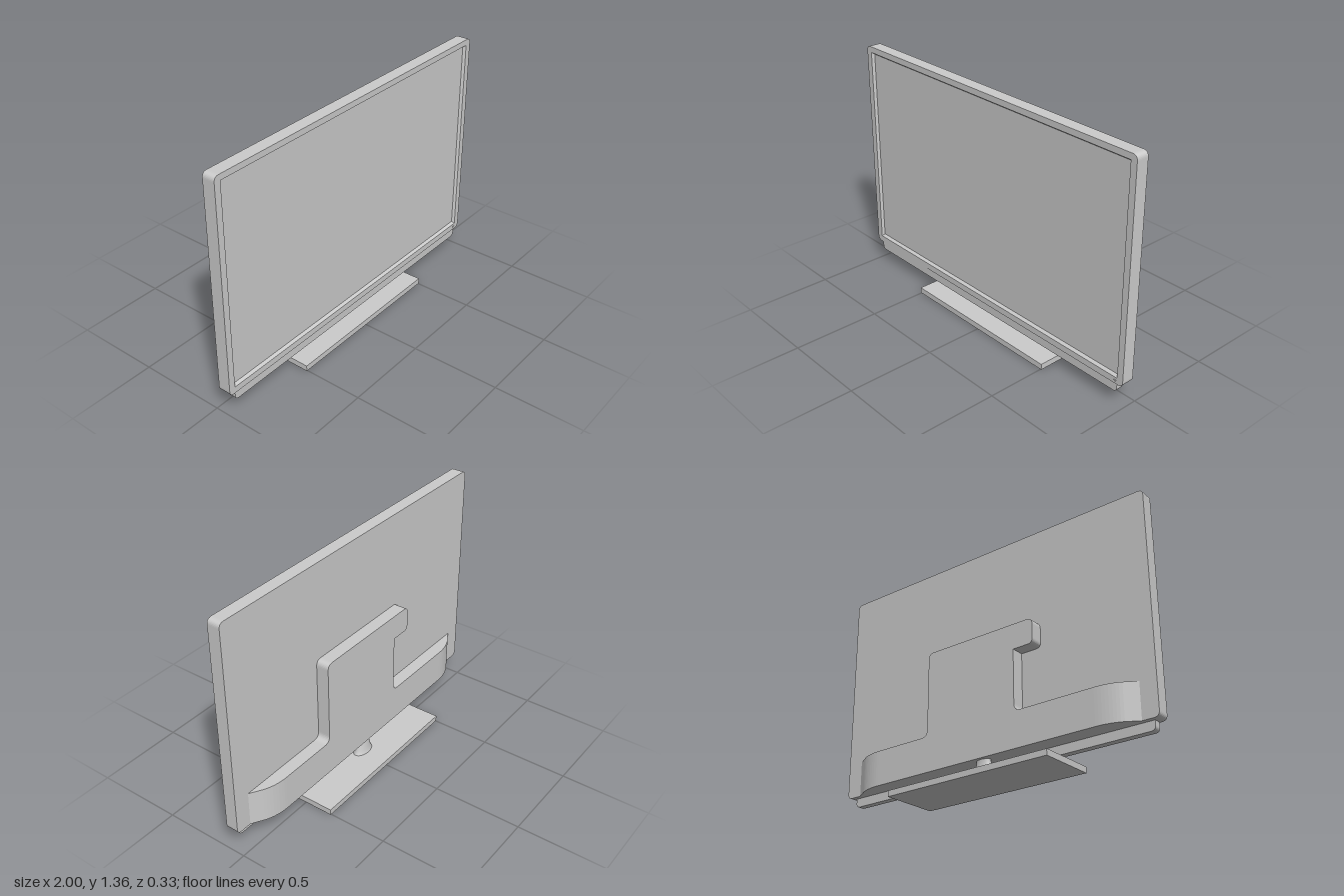
import * as THREE from 'three';

const material = new THREE.MeshStandardMaterial({ color: 0xcccccc });

function add(group, name, geometry) {
  const mesh = new THREE.Mesh(geometry, material);
  mesh.name = name;
  group.add(mesh);
  return mesh;
}

// Outline from [x, y, radius] corners, each rounded by its radius
function roundedPath(corners) {
  const shape = new THREE.Shape();
  const n = corners.length;
  corners.forEach(([x, y, r], i) => {
    const p = new THREE.Vector2(x, y);
    const towards = ([a, b]) => p.clone().add(new THREE.Vector2(a - x, b - y).setLength(r));
    const start = towards(corners[(i + n - 1) % n]);
    const end = towards(corners[(i + 1) % n]);
    if (i === 0) shape.moveTo(start.x, start.y);
    else shape.lineTo(start.x, start.y);
    if (r > 0) shape.quadraticCurveTo(x, y, end.x, end.y);
  });
  shape.closePath();
  return shape;
}

const rect = (x, y0, y1, rBottom, rTop = rBottom) =>
  roundedPath([[-x, y0, rBottom], [x, y0, rBottom], [x, y1, rTop], [-x, y1, rTop]]);

// Extrude an outline between two z values
function slab(shape, z0, z1) {
  return new THREE.ExtrudeGeometry(shape, { depth: z1 - z0, bevelEnabled: false, curveSegments: 8 })
    .translate(0, 0, z0);
}

// Sloping border between an outer rectangle and a smaller one set further back
function slopedBorder(outer, inner) {
  const loop = ([x, y0, y1, z]) => [[-x, y0, z], [x, y0, z], [x, y1, z], [-x, y1, z]];
  const a = loop(outer), b = loop(inner), positions = [];
  for (let i = 0; i < 4; i++) {
    const j = (i + 1) % 4;
    for (const p of [a[i], a[j], b[j], a[i], b[j], b[i]]) positions.push(...p);
  }
  const geometry = new THREE.BufferGeometry();
  geometry.setAttribute('position', new THREE.Float32BufferAttribute(positions, 3));
  geometry.computeVertexNormals();
  return geometry;
}

export function createModel() {
  const model = new THREE.Group();
  model.name = 'television';

  // Screen housing: closed back, open bezel, sloping lip and recessed display
  const housing = new THREE.Group();
  housing.name = 'housing';
  model.add(housing);
  const displayZ = 0.085;
  const bezel = rect(1, 0.13, 1.36, 0.03);
  bezel.holes.push(rect(0.963, 0.166, 1.327, 0));
  add(housing, 'bezel', slab(bezel, displayZ, 0.1));
  add(housing, 'backPanel', slab(rect(1, 0.13, 1.36, 0.03), 0.028, displayZ));
  add(housing, 'screenLip', slopedBorder([0.963, 0.166, 1.327, 0.1], [0.952, 0.179, 1.316, displayZ]));
  add(housing, 'screen', new THREE.PlaneGeometry(1.904, 1.137).translate(0, 0.7475, displayZ + 0.001));
  add(housing, 'indicator', new THREE.BoxGeometry(0.012, 0.008, 0.006).translate(0.95, 0.148, 0.101));

  // Speaker strip under the screen
  add(model, 'speakerStrip', slab(rect(0.96, 0.08, 0.135, 0.025, 0), 0.056, 0.095));

  // Low rear band with tapering ends, drawn in plan (x, -z)
  const band = new THREE.Shape();
  band.moveTo(-0.91, -0.03);
  band.lineTo(0.91, -0.03);
  band.lineTo(0.84, 0.012);
  band.bezierCurveTo(0.8, 0.034, 0.75, 0.045, 0.7, 0.045);
  band.lineTo(-0.7, 0.045);
  band.bezierCurveTo(-0.75, 0.045, -0.8, 0.034, -0.84, 0.012);
  band.closePath();
  add(model, 'rearBand', slab(band, 0.13, 0.33).rotateX(-Math.PI / 2));

  // Rear tower with a side overhang and filleted feet
  const tower = roundedPath([
    [-0.27, 0.33, 0], [0.39, 0.33, 0], [0.35, 0.33, 0.04], [0.35, 0.815, 0.035],
    [-0.35, 0.815, 0.035], [-0.35, 0.672, 0.03], [-0.228, 0.672, 0], [-0.228, 0.33, 0.04],
  ]);
  add(model, 'rearTower', slab(tower, -0.045, 0.03));

  // Flared oval neck
  const profile = new THREE.SplineCurve([
    [0.041, 0.03], [0.035, 0.05], [0.03, 0.08], [0.026, 0.11], [0.025, 0.135],
  ].map(([r, y]) => new THREE.Vector2(r, y)));
  add(model, 'neck', new THREE.LatheGeometry(profile.getPoints(12), 40).scale(1.7, 1, 1));

  // Flat stand
  add(model, 'base', new THREE.BoxGeometry(1.01, 0.033, 0.33).translate(0, 0.0165, 0));

  return model;
}
